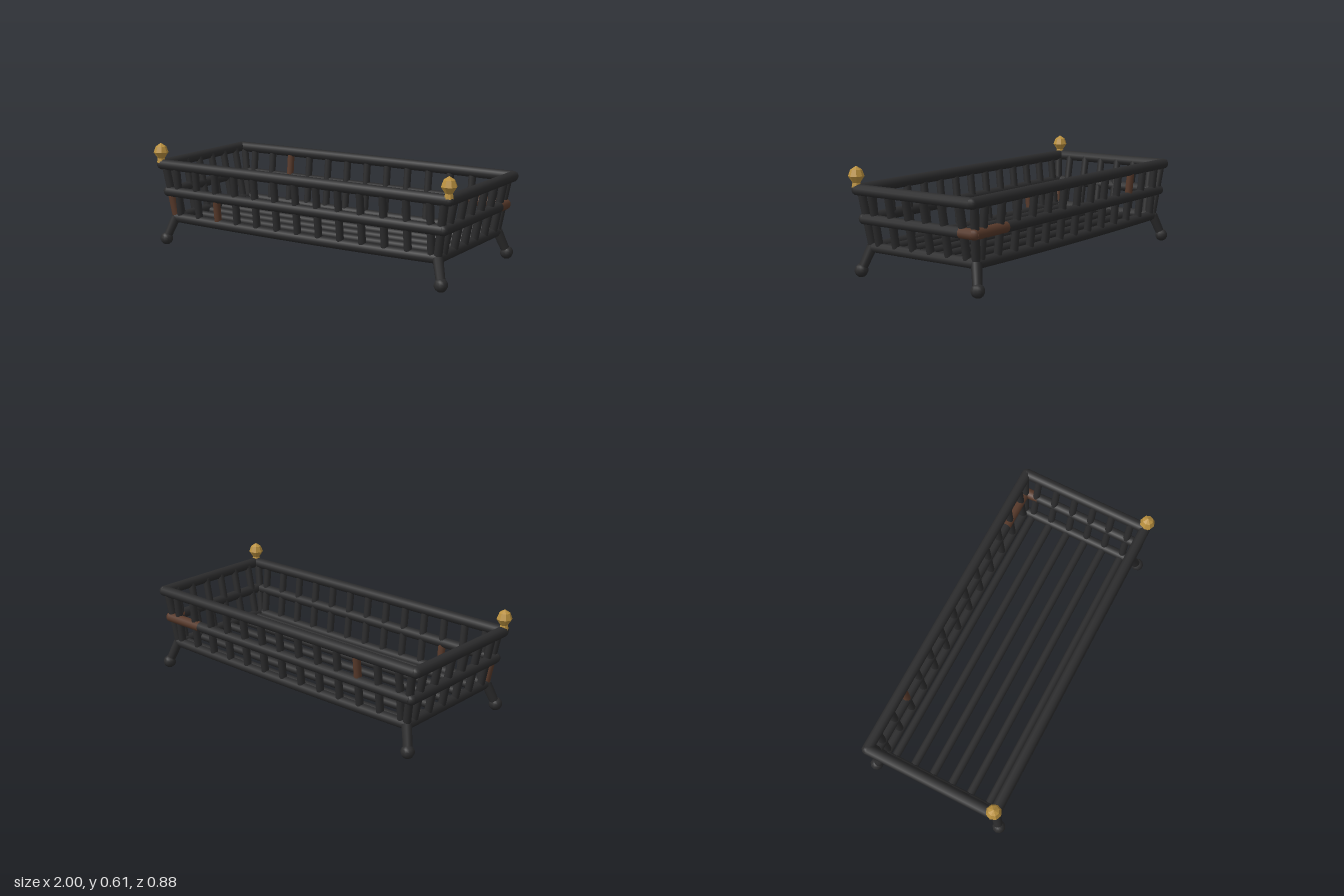
import * as THREE from 'three';

const iron = new THREE.MeshStandardMaterial({ color: 0x2b2b2c });
iron.name = 'black iron';
const rust = new THREE.MeshStandardMaterial({ color: 0x57392a });
rust.name = 'rust';
const brass = new THREE.MeshStandardMaterial({ color: 0xb9903f });
brass.name = 'aged brass';
brass.flatShading = true;

const V = (x, y, z) => new THREE.Vector3(x, y, z);

export function createModel() {
  const group = new THREE.Group();
  group.name = 'fireGrate';

  const add = (name, geometry, material) => {
    const mesh = new THREE.Mesh(geometry, material);
    mesh.name = name;
    group.add(mesh);
    return mesh;
  };

  // Straight round bar between two points
  const bar = (name, a, b, rA, rB = rA, material = iron) => {
    const mesh = add(name, new THREE.CylinderGeometry(rB, rA, a.distanceTo(b), 10), material);
    mesh.position.copy(a).lerp(b, 0.5);
    mesh.quaternion.setFromUnitVectors(V(0, 1, 0), b.clone().sub(a).normalize());
  };
  const ball = (name, p, r, material = iron) =>
    add(name, new THREE.SphereGeometry(r, 10, 7), material).position.copy(p);

  // Gently bowed bar, for rails that sag in the middle
  const bowedBar = (name, a, b, r, sag) => {
    const mid = a.clone().lerp(b, 0.5);
    mid.y -= sag * 2;
    add(name, new THREE.TubeGeometry(new THREE.QuadraticBezierCurve3(a, mid, b), 12, r, 10), iron);
  };

  // Rectangular hoops, widening upward
  const hoops = {
    bottom: { x: 0.88, y: 0.164, z: 0.357, r: 0.029 },
    middle: { x: 0.92, y: 0.322, z: 0.378, r: 0.03 },
    top: { x: 0.955, y: 0.484, z: 0.39, r: 0.031 },
  };
  for (const [key, { x, y, z, r }] of Object.entries(hoops)) {
    const sag = { bottom: 0.007, middle: 0, top: -0.002 }[key];
    for (const s of [-1, 1]) {
      const rustyBack = key === 'middle' && s < 0;
      const rustySide = key === 'middle' && s > 0;
      if (rustyBack) {
        bar('middleRailBack', V(-x, y, -z), V(0.66, y, -z), r);
        bar('rustyRailBack', V(0.66, y, -z), V(x, y, -z), r, r, rust);
      } else bowedBar(key + 'RailLong', V(-x, y, s * z), V(x, y, s * z), r, sag);
      if (rustySide) {
        bar('middleRailLeft', V(x, y, -0.29), V(x, y, z), r);
        bar('rustyRailLeft', V(x, y, -z), V(x, y, -0.29), r, r, rust);
      } else bar(key + 'RailEnd', V(s * x, y, -z), V(s * x, y, z), r);
      for (const t of [-1, 1]) {
        const rusty = key === 'middle' && s > 0 && t < 0;
        ball(key + 'RailCorner', V(s * x, y, t * z), r, rusty ? rust : iron);
      }
    }
  }

  // Uprights in two halves, below and above the middle hoop
  const upright = (name, a, b, r, lower = iron, upper = iron) => {
    const mid = a.clone().lerp(b, 0.5);
    bar(name + 'Lower', a, mid, r, r, lower);
    bar(name + 'Upper', mid, b, r, r, upper);
  };
  const { bottom, top } = hoops;
  for (const s of [-1, 1]) {
    for (let i = -6; i <= 6; i++) {
      const x = i * 0.1408;
      const spot = i === -4;
      upright(s > 0 ? 'frontBar' : 'backBar', V(x, bottom.y, s * bottom.z), V(x, top.y, s * top.z), 0.022,
        spot && s > 0 ? rust : iron, spot && s < 0 ? rust : iron);
    }
    for (let i = 0; i < 6; i++) {
      const z = -0.302 + i * 0.121;
      upright('endBar', V(s * bottom.x, bottom.y - 0.01, z), V(s * 0.945, top.y, z), 0.022);
    }
    for (const t of [-1, 1]) {
      upright('cornerPost', V(s * bottom.x, bottom.y, t * bottom.z), V(s * 0.93, top.y, t * 0.387), 0.023,
        s < 0 && t > 0 ? rust : iron);
    }
  }

  // Floor bars
  for (let i = 0; i < 6; i++) {
    const z = -0.302 + i * 0.121;
    bowedBar('floorBar', V(-0.88, 0.154, z), V(0.88, 0.154, z), 0.024, 0.006);
  }

  // Splayed legs with ball feet
  for (const s of [-1, 1]) {
    for (const t of [-1, 1]) {
      bar('leg', V(s * 0.925, 0.04, t * 0.4), V(s * 0.882, 0.168, t * 0.36), 0.025, 0.029);
      ball('foot', V(s * 0.925, 0.038, t * 0.402), 0.038);
    }
  }

  // Brass finials on the front corners
  const profile = [[0, 0.495], [0.026, 0.495], [0.021, 0.522], [0.044, 0.557], [0.031, 0.592], [0, 0.612]]
    .map(([r, y]) => new THREE.Vector2(r, y));
  for (const s of [-1, 1]) {
    add('finial', new THREE.LatheGeometry(profile, 8), brass).position.set(s * 0.956, 0, 0.394);
  }

  return group;
}
